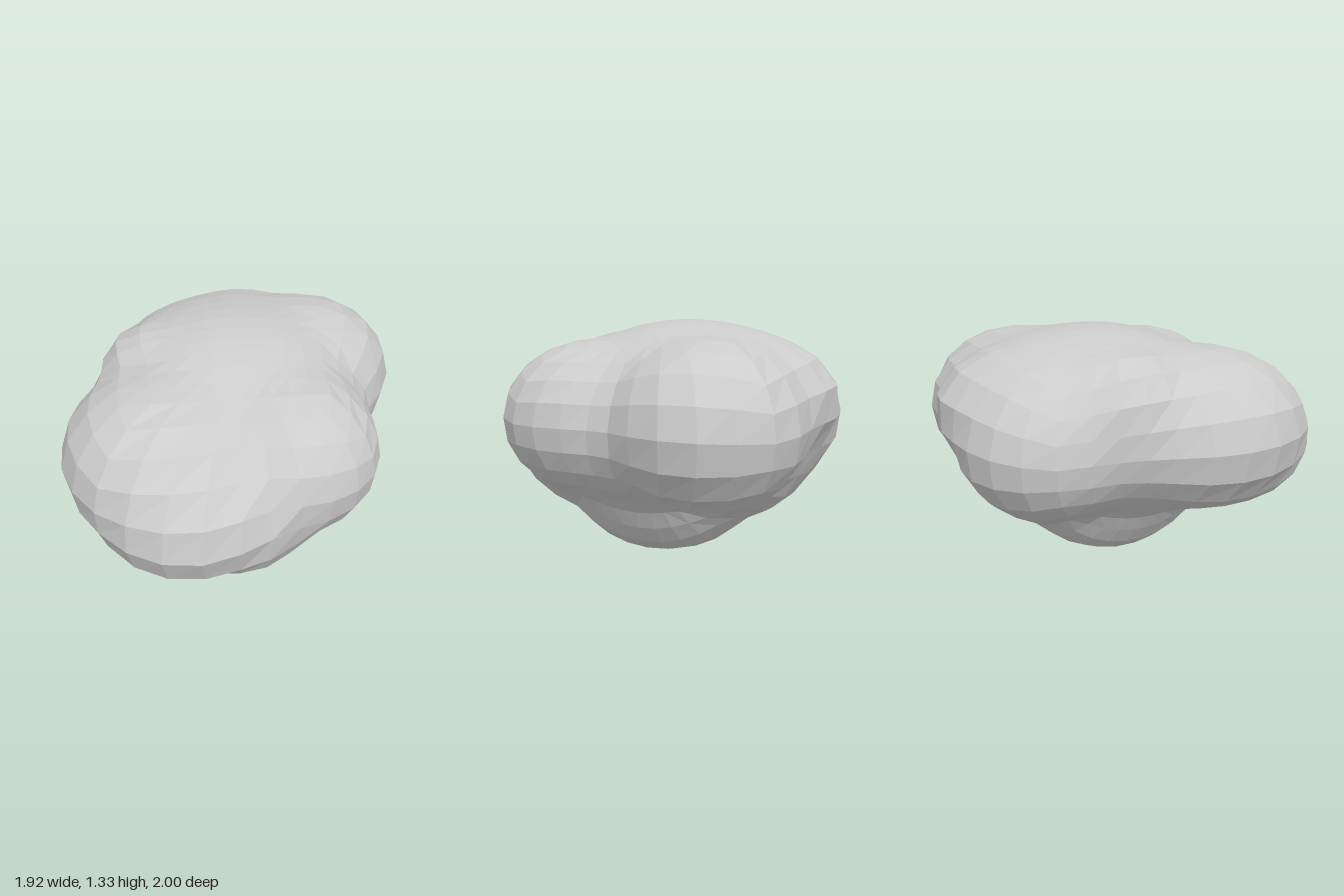
import * as THREE from 'three';

// Blended rounded lobes: centre x, y, z, then radii x, y, z
const LOBES = [
  [-0.42, 0.81, 0.30, 0.55, 0.43, 0.59],  // front right
  [0.25, 0.80, 0.34, 0.48, 0.42, 0.49],   // front left
  [-0.31, 0.68, 0.53, 0.49, 0.37, 0.48],  // front bulge
  [0.46, 0.82, -0.40, 0.50, 0.44, 0.50],  // back left
  [-0.18, 0.79, -0.48, 0.50, 0.42, 0.50], // back right
  [0.08, 0.92, -0.50, 0.43, 0.33, 0.50],  // back middle
  [-0.28, 0.83, -0.10, 0.49, 0.38, 0.48], // right flank
  [0.30, 0.76, 0.00, 0.44, 0.36, 0.40],   // left flank
  [-0.48, 1.02, -0.18, 0.25, 0.24, 0.30], // right shoulder
  [-0.02, 1.00, -0.15, 0.63, 0.33, 0.63], // crown
  [0.00, 0.62, 0.00, 0.60, 0.37, 0.55],   // underside
  [0.01, 0.41, 0.00, 0.41, 0.41, 0.54],   // foot
  [-0.04, 0.61, 0.48, 0.40, 0.39, 0.41],  // front of keel
  [0.05, 0.65, -0.43, 0.42, 0.40, 0.43],  // back of keel
];
const CORE = new THREE.Vector3(0, 0.75, -0.03);
const SHARPNESS = 32;

// Smooth union of the lobes: approximate distance from p to the surface
function distance(p) {
  let sum = 0;
  for (const [cx, cy, cz, rx, ry, rz] of LOBES) {
    const q = Math.hypot((p.x - cx) / rx, (p.y - cy) / ry, (p.z - cz) / rz);
    sum += Math.exp(-SHARPNESS * (q - 1) * Math.min(rx, ry, rz));
  }
  return -Math.log(sum) / SHARPNESS;
}

// Steps inwards along a ray until it meets the surface
function surfacePoint(dir) {
  const p = new THREE.Vector3();
  let r = 1.5;
  for (let i = 0; i < 80; i++) {
    p.copy(CORE).addScaledVector(dir, r);
    r -= distance(p);
  }
  return p;
}

export function createModel() {
  const group = new THREE.Group();
  group.name = 'lumpyClump';

  // Cube sphere of quads wrapped around the blended lobes
  const n = 9;
  const geometry = new THREE.BoxGeometry(2, 2, 2, n, n, n);
  const pos = geometry.attributes.position;
  const dir = new THREE.Vector3();
  for (let i = 0; i < pos.count; i++) {
    dir.fromBufferAttribute(pos, i);
    // Even out the angles between grid lines
    dir.set(...dir.toArray().map((v) => Math.tan(v * Math.PI / 4))).normalize();
    const p = surfacePoint(dir);
    pos.setXYZ(i, p.x, p.y, p.z);
  }

  const flat = geometry.toNonIndexed();
  flat.computeVertexNormals();
  const clump = new THREE.Mesh(flat, new THREE.MeshStandardMaterial({ color: 0xcccccc, flatShading: true }));
  clump.name = 'clump';
  group.add(clump);
  return group;
}
